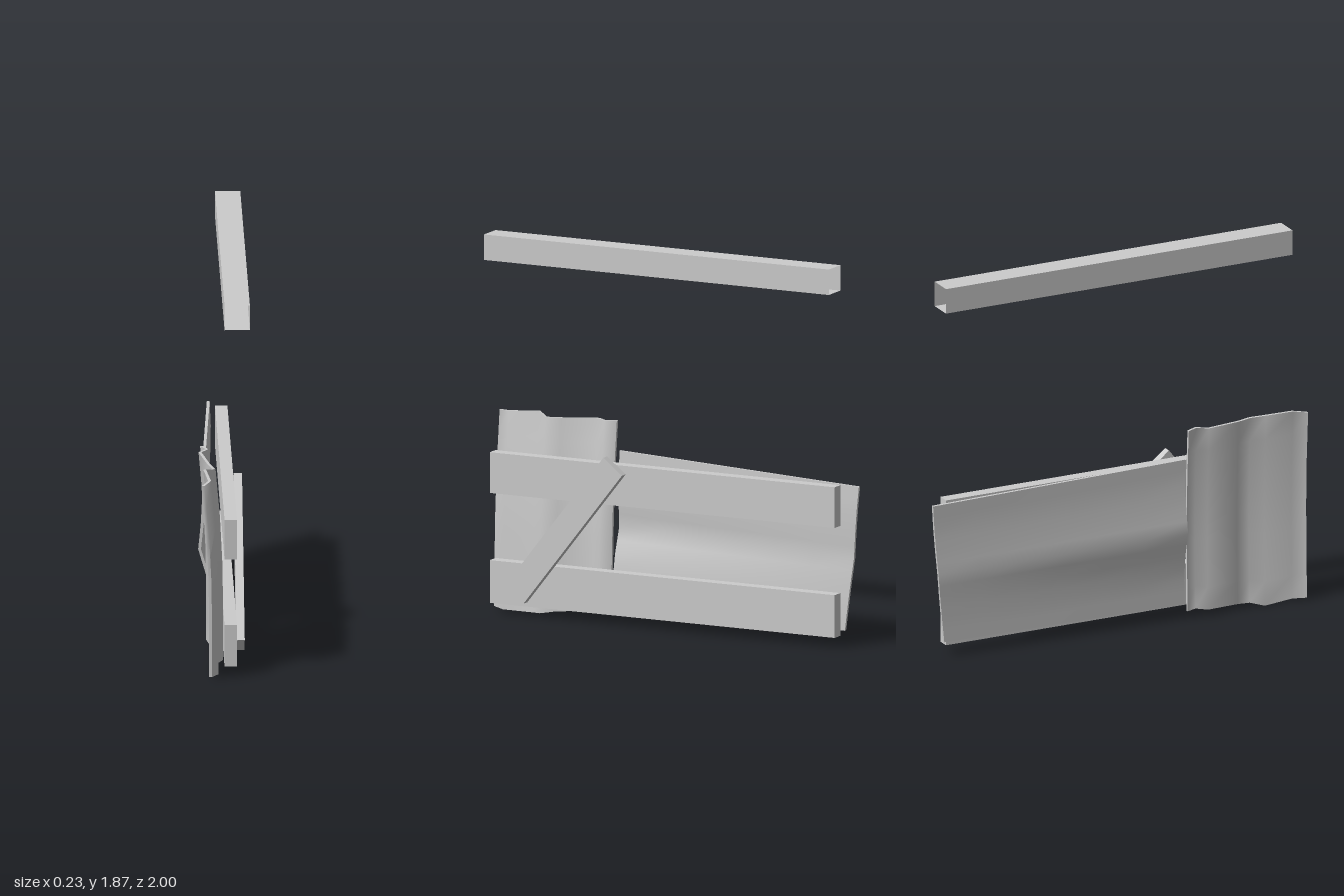
import * as THREE from 'three';
import { toCreasedNormals } from 'three/addons/utils/BufferGeometryUtils.js';

const material = new THREE.MeshStandardMaterial({ color: 0xcccccc });
const openMaterial = new THREE.MeshStandardMaterial({ color: 0xcccccc, side: THREE.DoubleSide });

// Piecewise linear lookup of evenly spaced values, t in 0..1
function sample(values, t) {
  const f = t * (values.length - 1);
  const i = Math.min(Math.floor(f), values.length - 2);
  return THREE.MathUtils.lerp(values[i], values[i + 1], f - i);
}

function add(group, name, geometry, mat = material) {
  const mesh = new THREE.Mesh(geometry, mat);
  mesh.name = name;
  group.add(mesh);
  return mesh;
}

// Box given by its x, y and z ranges
function board(group, name, [x0, x1], [y0, y1], [z0, z1]) {
  const mesh = add(group, name, new THREE.BoxGeometry(x1 - x0, y1 - y0, z1 - z0));
  mesh.position.set((x0 + x1) / 2, (y0 + y1) / 2, (z0 + z1) / 2);
  return mesh;
}

// Thin bent sheet: place(u, v) gives the point for u along z and v along y
function sheet(group, name, thickness, uSegments, vSegments, place) {
  const geometry = new THREE.BoxGeometry(1, 1, 1, 1, vSegments, uSegments);
  const p = geometry.attributes.position;
  for (let i = 0; i < p.count; i++) {
    const [x, y, z] = place(p.getZ(i) + 0.5, p.getY(i) + 0.5);
    p.setXYZ(i, x + p.getX(i) * thickness, y, z);
  }
  return add(group, name, toCreasedNormals(geometry, 1.1));
}

export function createModel() {
  const group = new THREE.Group();
  const length = [-0.91, 0.96];

  // Horizontal rails and the diagonal brace nailed over them
  board(group, 'lowerRail', [0, 0.06], [0.05, 0.26], length);
  board(group, 'upperRail', [0, 0.06], [0.59, 0.79], length);
  const brace = board(group, 'diagonalBrace', [0.06, 0.1], [0.019, 0.881], [0.476, 0.604]);
  brace.rotation.x = -Math.atan2(0.533, 0.677);

  // Square top beam, open at both ends
  const beam = new THREE.BoxGeometry(0.122, 0.125, 1.87);
  beam.setIndex(Array.from(beam.index.array).slice(0, 24));
  beam.clearGroups();
  add(group, 'topBeam', beam, openMaterial).position.set(0.061, 1.808, 0.025);

  // Long sheet with one horizontal bulge, flattening toward the back
  const bulgeFront = [-0.045, -0.05, -0.068, -0.105, -0.092, -0.086, -0.09];
  const bulgeBack = [-0.015, -0.018, -0.024, -0.033, -0.027, -0.025, -0.03];
  sheet(group, 'longSheet', 0.014, 6, 12, (u, v) => [
    THREE.MathUtils.lerp(sample(bulgeBack, v), sample(bulgeFront, v), u),
    THREE.MathUtils.lerp(0.075, THREE.MathUtils.lerp(0.785, 0.83, u), v),
    THREE.MathUtils.lerp(sample([-0.93, -0.97, -0.998], v), sample([0.35, 0.34, 0.33], v), u),
  ]);

  // Short upright sheet with vertical folds, leaning outward near its top
  const foldX = [-0.06, -0.035, -0.07, -0.03, -0.008, -0.055, -0.035, -0.068];
  const foldZ = [0.355, 0.41, 0.46, 0.64, 0.715, 0.775, 0.93, 0.995];
  const foldTop = [0.975, 0.975, 0.975, 0.968, 0.968, 0.985, 0.975, 0.97];
  const foldBottom = [0.04, 0.038, 0.035, 0.022, 0.01, 0, 0.005, 0.01];
  const lean = [0, 0, -0.003, -0.015, -0.036];
  sheet(group, 'foldedSheet', 0.014, 7, 8, (u, v) => [
    sample(foldX, u) + sample(lean, v),
    THREE.MathUtils.lerp(sample(foldBottom, u), sample(foldTop, u), v),
    sample(foldZ, u) + 0.005 - 0.012 * v,
  ]);

  return group;
}
